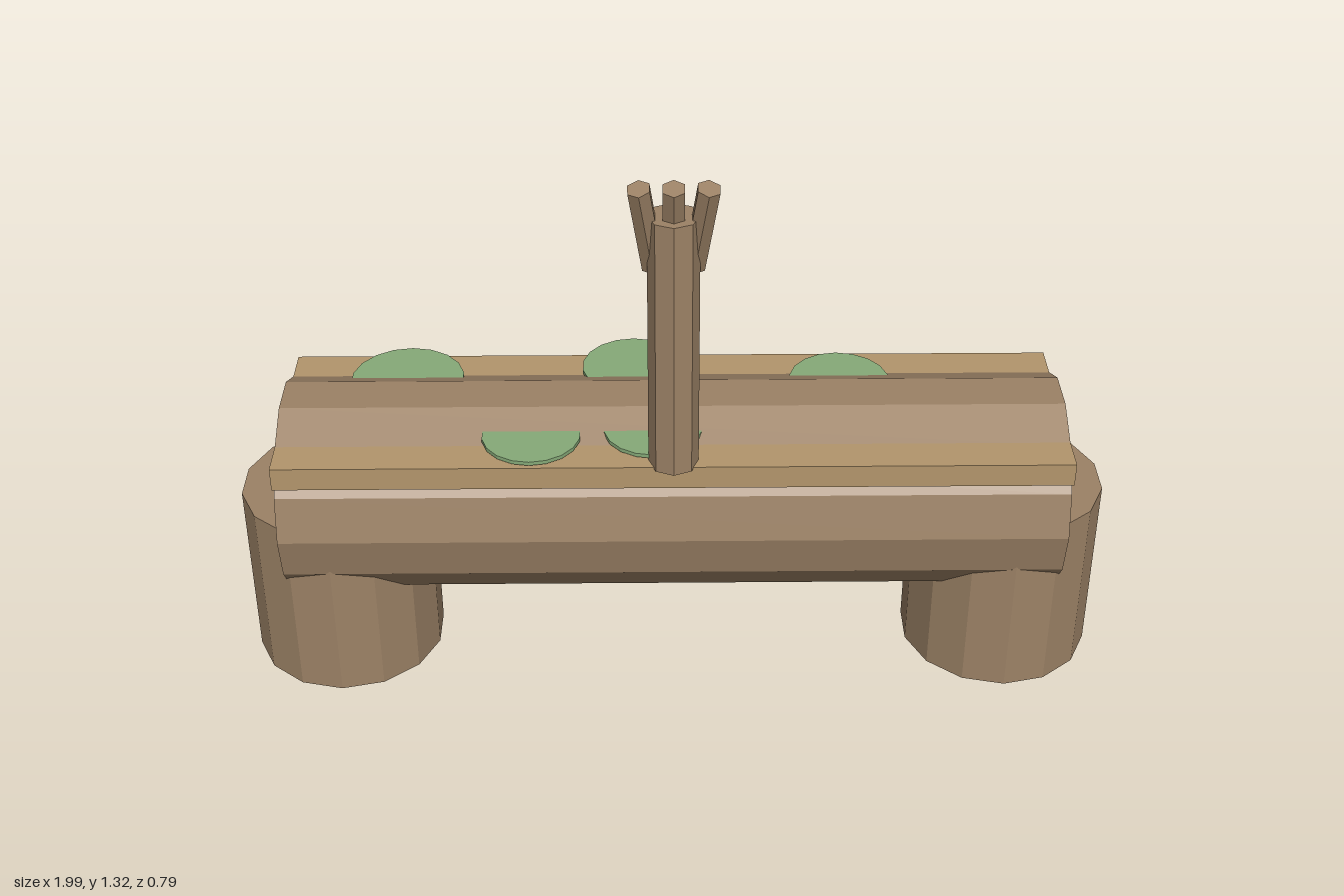
import * as THREE from 'three';

const mat = (color, flatShading = true) => new THREE.MeshStandardMaterial({ color, flatShading });
const bark = mat(0x9c8266);
const plankWood = mat(0xb3966c);
const green = mat(0x86aa78);
const red = mat(0xd05a48, false);
const white = mat(0xdddad2, false);

export function createModel() {
  const model = new THREE.Group();
  const CZ = 0.14; // z of the log axis

  const add = (name, geometry, material, x, y, z, parent = model) => {
    const mesh = new THREE.Mesh(geometry, material);
    mesh.name = name;
    mesh.position.set(x, y, z);
    parent.add(mesh);
    return mesh;
  };

  // cylinder running between two points
  const rod = (name, a, b, r, sides) => {
    const dir = b.clone().sub(a);
    const mid = a.clone().add(b).multiplyScalar(0.5);
    const mesh = add(name, new THREE.CylinderGeometry(r, r, dir.length(), sides), bark, mid.x, mid.y, mid.z);
    mesh.quaternion.setFromUnitVectors(new THREE.Vector3(0, 1, 0), dir.normalize());
    return mesh;
  };

  // fallen log and the flat walkway set into it
  const log = new THREE.CylinderGeometry(0.242, 0.242, 1.76, 14).rotateZ(Math.PI / 2);
  add('log', log, bark, 0, 0.442, CZ);
  add('walkway', new THREE.BoxGeometry(1.76, 0.055, 0.46), plankWood, 0, 0.607, CZ);

  // supporting stumps, each with three broken twigs on the back
  const twigs = [[-20, 0.245], [12, 0.265], [41, 0.298]]; // angle outwards from the back, tip reach
  for (const side of [-1, 1]) {
    add('stump', new THREE.CylinderGeometry(0.22, 0.22, 0.44, 14), bark, side * 0.775, 0.22, CZ);
    for (const [deg, reach] of twigs) {
      const t = THREE.MathUtils.degToRad(deg);
      const at = (r, y) => new THREE.Vector3(side * (0.775 + Math.sin(t) * r), y, CZ - Math.cos(t) * r);
      rod('twig', at(reach - 0.11, 0.108), at(reach, 0.163), 0.029, 6);
    }
  }

  // upright post with three short branches at its top
  add('post', new THREE.CylinderGeometry(0.055, 0.055, 0.61, 8), bark, 0, 0.935, 0.34);
  for (const i of [-1, 0, 1]) {
    rod('branch', new THREE.Vector3(i * 0.043, 1.108, 0.312),
      new THREE.Vector3(i * 0.071, 1.317, 0.37), 0.026, 6);
  }

  // round moss pads, partly sunk into the log: x, z, radius
  const pads = [[-0.61, 0.03, 0.13], [-0.09, -0.02, 0.118], [0.385, 0.045, 0.115],
    [-0.315, 0.26, 0.11], [-0.045, 0.235, 0.11]];
  for (const [x, z, r] of pads) {
    add('mossPad', new THREE.CylinderGeometry(r, r, 0.009, 18), green, x, 0.646, z);
  }

  // mushrooms on the ground behind: x, z, cap material
  const mushrooms = [[-0.45, -0.325, red], [-0.113, -0.357, white], [0.34, -0.31, red], [0.322, -0.26, white]];
  for (const [x, z, capMat] of mushrooms) {
    const mushroom = new THREE.Group();
    mushroom.name = 'mushroom';
    mushroom.position.set(x, 0, z);
    model.add(mushroom);
    add('stem', new THREE.CylinderGeometry(0.013, 0.013, 0.1, 8), white, 0, 0.05, 0, mushroom);
    const cap = new THREE.SphereGeometry(0.042, 16, 10).scale(1, 0.52, 1);
    add('cap', cap, capMat, 0, 0.102, 0, mushroom);
    if (capMat !== red) continue;
    for (let i = 0; i < 4; i++) {
      const a = i * Math.PI / 2 + 0.4;
      add('capSpot', new THREE.SphereGeometry(0.008, 8, 6), red,
        Math.cos(a) * 0.022, 0.123, Math.sin(a) * 0.022, mushroom);
    }
  }
  return model;
}
